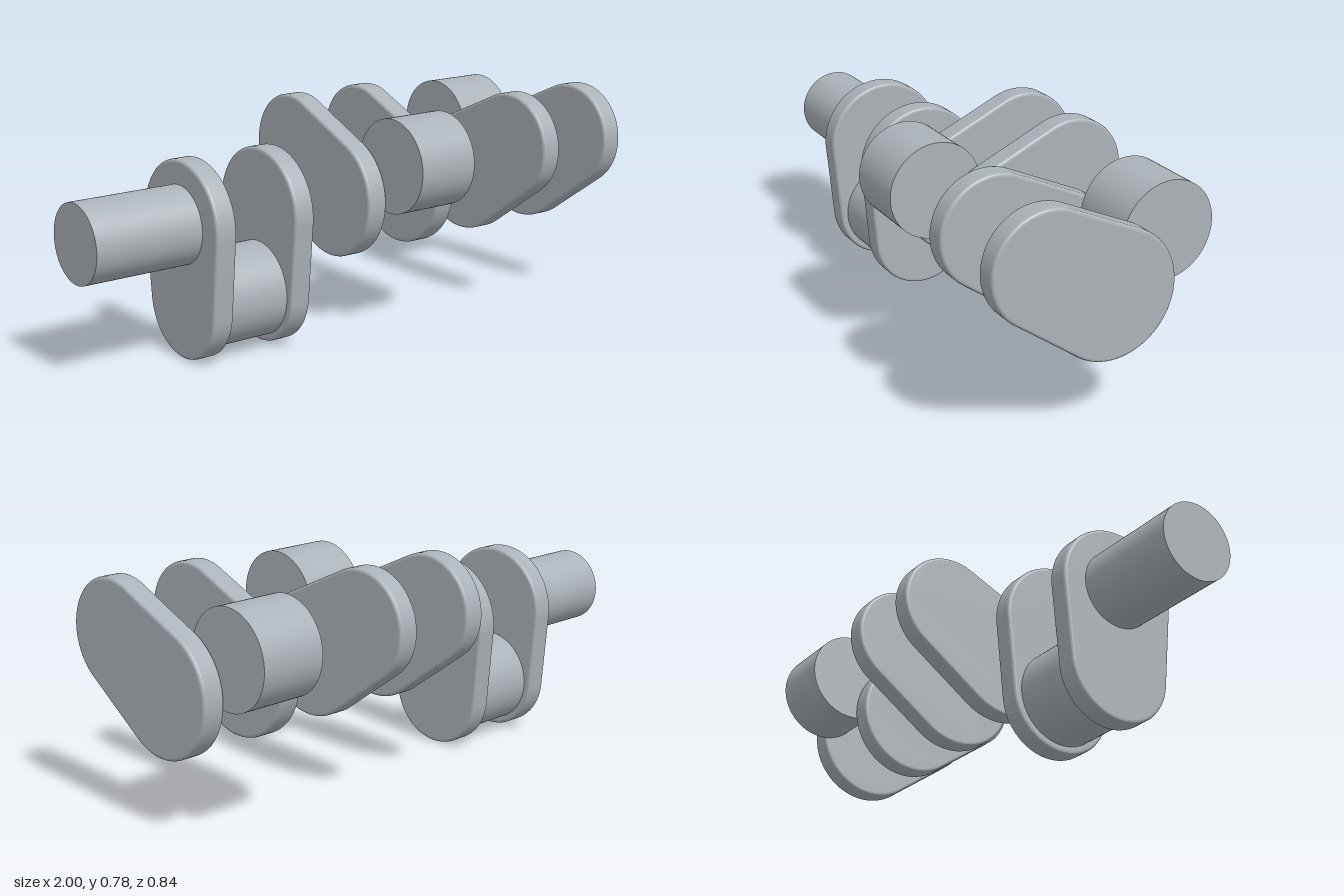
import * as THREE from 'three';
import { toCreasedNormals } from 'three/addons/utils/BufferGeometryUtils.js';

const AXIS_Y = 0.455;   // height of the main axis
const THROW = 0.268;    // distance from main axis to crank pin axis
const WEB = 0.077;      // web thickness
const PITCH = 0.308;    // spacing from web to web
const FIRST = -0.618;   // left face of the first web
const BEVEL = 0.01;

export function createModel() {
  const model = new THREE.Group();
  model.name = 'crankshaft';
  const steel = new THREE.MeshStandardMaterial({ color: 0xabb2b7 });
  steel.name = 'steel grey';

  // Egg-shaped web: large round end on the axis, smaller lobe hanging below
  function webGeometry() {
    const big = 0.213, small = 0.187;
    const tilt = Math.asin((big - small) / THROW);
    const outline = new THREE.Shape();
    outline.absarc(0, 0, big, -tilt, Math.PI + tilt, false);
    outline.absarc(0, -THROW, small, Math.PI + tilt, Math.PI * 2 - tilt, false);
    outline.closePath();
    const geo = new THREE.ExtrudeGeometry(outline, {
      depth: WEB - 2 * BEVEL, curveSegments: 48,
      bevelEnabled: true, bevelSize: BEVEL, bevelOffset: -BEVEL,
      bevelThickness: BEVEL, bevelSegments: 3,
    });
    geo.translate(0, 0, BEVEL);
    return toCreasedNormals(geo, 0.2);
  }
  const webGeo = webGeometry();

  // Web starting at x, its lobe turned about the main axis
  function addWeb(name, x, angle) {
    const mesh = new THREE.Mesh(webGeo, steel);
    mesh.name = name;
    mesh.rotation.set(0, Math.PI / 2, angle, 'YXZ');
    mesh.position.set(x, AXIS_Y, 0);
    model.add(mesh);
  }

  // Round bar along x
  function addBar(name, x0, x1, y, z, radius) {
    const geo = new THREE.CylinderGeometry(radius, radius, x1 - x0, 72);
    geo.rotateZ(Math.PI / 2);
    const mesh = new THREE.Mesh(geo, steel);
    mesh.name = name;
    mesh.position.set((x0 + x1) / 2, y, z);
    model.add(mesh);
  }

  addBar('mainShaft', -1, FIRST, AXIS_Y, 0, 0.132);

  // Three throws, 120 degrees apart; pins run opposite in z to the web lobes
  for (let i = 0; i < 3; i++) {
    const angle = i * Math.PI * 2 / 3;
    const x = FIRST + 2 * i * PITCH;
    addWeb(`webInner${i + 1}`, x, angle);
    addWeb(`webOuter${i + 1}`, x + PITCH, angle);
    addBar(`crankPin${i + 1}`, x + WEB, x + PITCH,
      AXIS_Y - THROW * Math.cos(angle), THROW * Math.sin(angle), 0.162);
  }
  return model;
}
